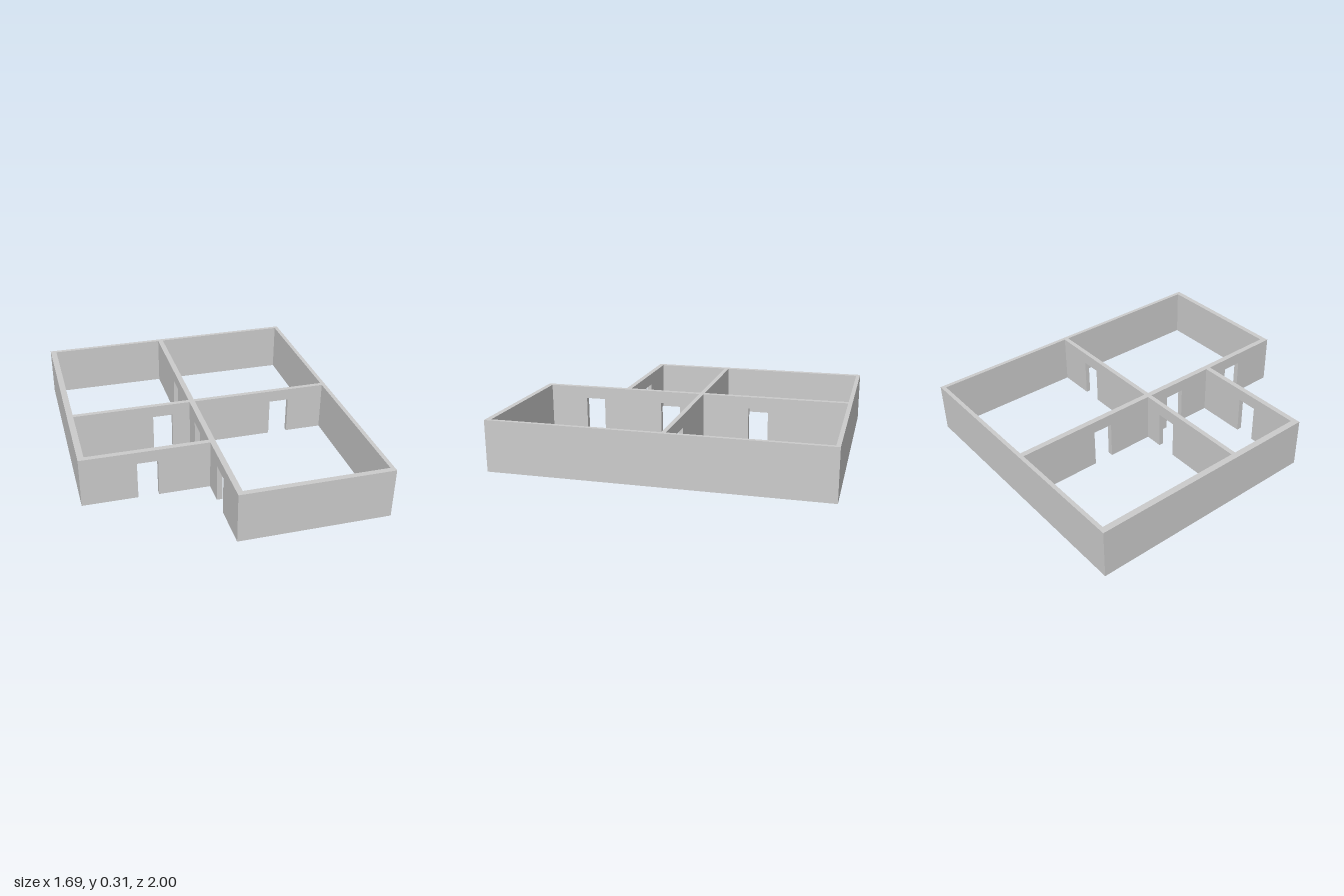
import * as THREE from 'three';

const HEIGHT = 0.31;
const DOOR_HEIGHT = 0.235;
const DOOR_WIDTH = 0.125;

const material = new THREE.MeshStandardMaterial({ color: 0xcccccc, flatShading: true });

// Wall elevation from a to b, notched at the floor for each doorway, extruded to its thickness.
// axis: direction the wall runs; c0..c1: its extent across; doors: start of each doorway.
function makeWall(name, axis, a, b, c0, c1, doors = []) {
  const shape = new THREE.Shape();
  shape.moveTo(a, 0);
  for (const d of doors) {
    shape.lineTo(d, 0);
    shape.lineTo(d, DOOR_HEIGHT);
    shape.lineTo(d + DOOR_WIDTH, DOOR_HEIGHT);
    shape.lineTo(d + DOOR_WIDTH, 0);
  }
  shape.lineTo(b, 0);
  shape.lineTo(b, HEIGHT);
  shape.lineTo(a, HEIGHT);
  shape.closePath();

  const geometry = new THREE.ExtrudeGeometry(shape, { depth: c1 - c0, bevelEnabled: false });
  if (axis === 'x') geometry.translate(0, 0, c0);
  else geometry.rotateY(-Math.PI / 2).translate(c1, 0, 0);

  const mesh = new THREE.Mesh(geometry, material);
  mesh.name = name;
  return mesh;
}

export function createModel() {
  const model = new THREE.Group();
  model.name = 'floorPlanWalls';

  // Outer walls
  model.add(
    makeWall('leftOuterWall', 'z', -1, 1, 0.82, 0.845),
    makeWall('rightOuterWall', 'z', -1, 0.457, -0.845, -0.807),
    makeWall('backOuterWall', 'x', -0.807, 0.82, -1, -0.975),
    makeWall('frontOuterWall', 'x', -0.069, 0.82, 0.967, 1),
    makeWall('entranceWall', 'x', -0.807, -0.073, 0.425, 0.457, [-0.51]),
  );

  // Inner walls running front to back
  model.add(makeWall('spineWall', 'z', -0.975, 0.457, -0.073, -0.039, [-0.483, 0.09]));
  const frontSpine = makeWall('frontSpineWall', 'z', 0.457, 0.967, -0.073, -0.039, [0.6]);
  // This stretch runs slightly out of square
  const p = frontSpine.geometry.attributes.position;
  for (let i = 0; i < p.count; i++) {
    p.setX(i, p.getX(i) + 0.004 * (p.getZ(i) - 0.457) / 0.51);
  }
  frontSpine.geometry.computeVertexNormals();
  model.add(frontSpine);

  // Cross walls between front and back rooms
  model.add(
    makeWall('rightCrossWall', 'x', -0.807, -0.073, -0.067, -0.039, [-0.31]),
    makeWall('leftCrossWall', 'x', -0.039, 0.82, -0.067, -0.039, [0.463]),
  );

  return model;
}
